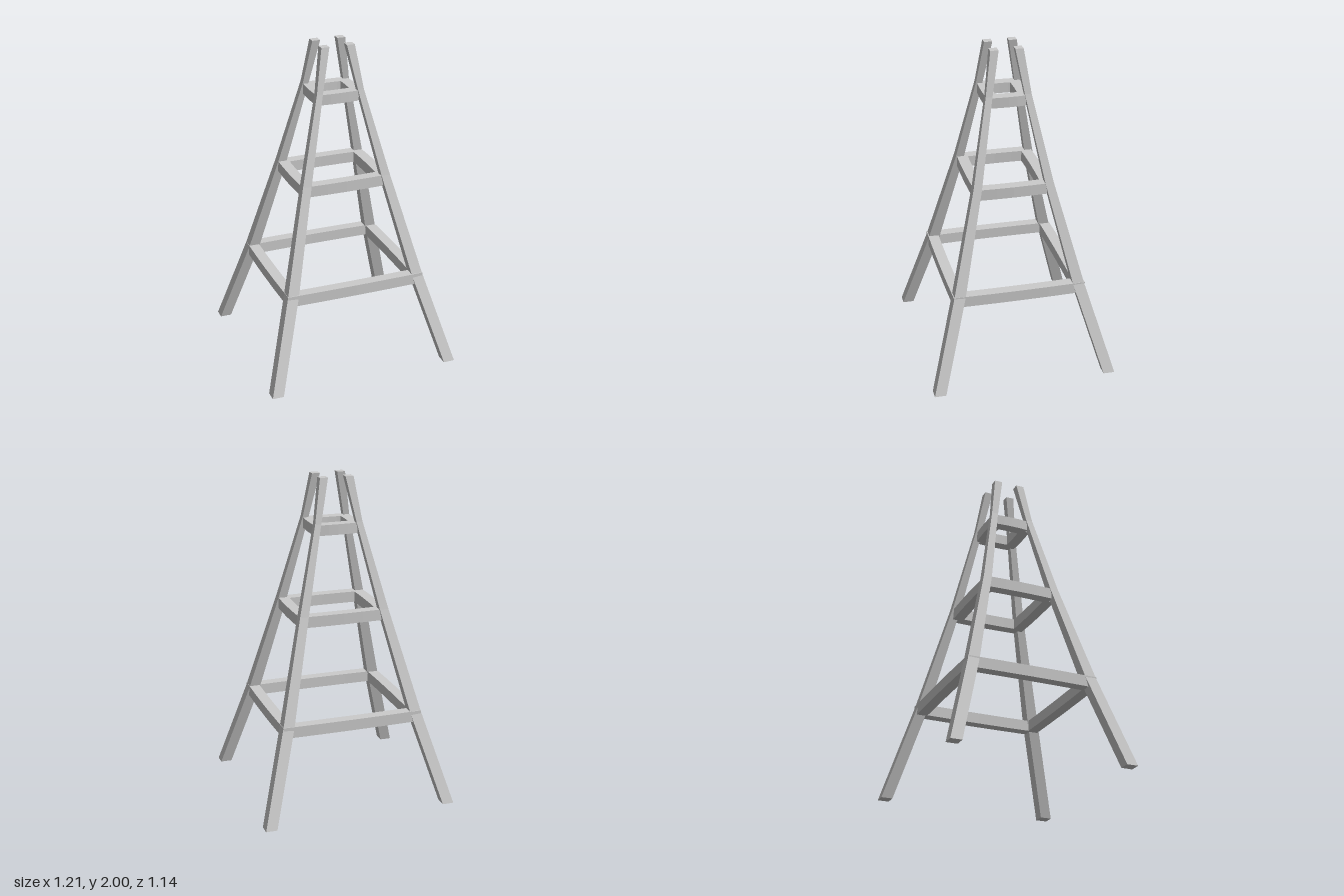
import * as THREE from 'three';

const material = new THREE.MeshStandardMaterial({ color: 0xcccccc, flatShading: true });

// Leg profile: height, outer x, inner x, outer z, inner z
const LEG = [
  [0, 0.605, 0.535, 0.57, 0.5],
  [0.57, 0.442, 0.372, 0.407, 0.337],
  [1.2, 0.281, 0.226, 0.247, 0.195],
  [1.73, 0.149, 0.111, 0.139, 0.098],
  [2, 0.105, 0.055, 0.1, 0.05],
];

// Rail frames: bottom, top, outer x, outer z, rail half-lengths along x and z
const FRAMES = [
  { name: 'lower', y0: 0.51, y1: 0.578, x: 0.442, z: 0.41, hx: 0.442, hz: 0.372 },
  { name: 'middle', y0: 1.13, y1: 1.198, x: 0.28, z: 0.239, hx: 0.24, hz: 0.205 },
  { name: 'upper', y0: 1.658, y1: 1.722, x: 0.146, z: 0.13, hx: 0.12, hz: 0.105 },
];
const DEPTH = 0.067;
const BOW = 0.005;

// Square tapering leg that bends at each profile level
function makeLeg(sx, sz) {
  const geo = new THREE.BoxGeometry(2, 2, 2, 1, LEG.length - 1, 1);
  const p = geo.attributes.position;
  for (let i = 0; i < p.count; i++) {
    const level = Math.round(((p.getY(i) + 1) / 2) * (LEG.length - 1));
    const [y, xo, xi, zo, zi] = LEG[level];
    const x = p.getX(i) * sx > 0 ? xo : xi;
    const z = p.getZ(i) * sz > 0 ? zo : zi;
    p.setXYZ(i, x * sx, y, z * sz);
  }
  geo.computeVertexNormals();
  const leg = new THREE.Mesh(geo, material);
  leg.name = (sz > 0 ? 'front' : 'back') + (sx > 0 ? 'Left' : 'Right') + 'Leg';
  return leg;
}

// Cross rail with its outer face at +z, bowed slightly outward mid-span
function makeRail(half, frame, outer) {
  const geo = new THREE.BoxGeometry(half * 2, frame.y1 - frame.y0, DEPTH, 4, 1, 1);
  geo.translate(0, (frame.y0 + frame.y1) / 2, outer - DEPTH / 2);
  const p = geo.attributes.position;
  for (let i = 0; i < p.count; i++) {
    const t = p.getX(i) / half;
    p.setZ(i, p.getZ(i) + BOW * (1 - t * t));
  }
  geo.computeVertexNormals();
  return new THREE.Mesh(geo, material);
}

export function createModel() {
  const model = new THREE.Group();
  model.name = 'towerFrame';

  for (const sx of [1, -1]) for (const sz of [1, -1]) model.add(makeLeg(sx, sz));

  // Four rails per frame, turned to face each side
  const sides = ['Front', 'Left', 'Back', 'Right'];
  for (const f of FRAMES) {
    const frame = new THREE.Group();
    frame.name = f.name + 'Frame';
    sides.forEach((side, i) => {
      const rail = i % 2 ? makeRail(f.hz, f, f.x) : makeRail(f.hx, f, f.z);
      rail.rotation.y = (i * Math.PI) / 2;
      rail.name = f.name + side + 'Rail';
      frame.add(rail);
    });
    model.add(frame);
  }
  return model;
}
